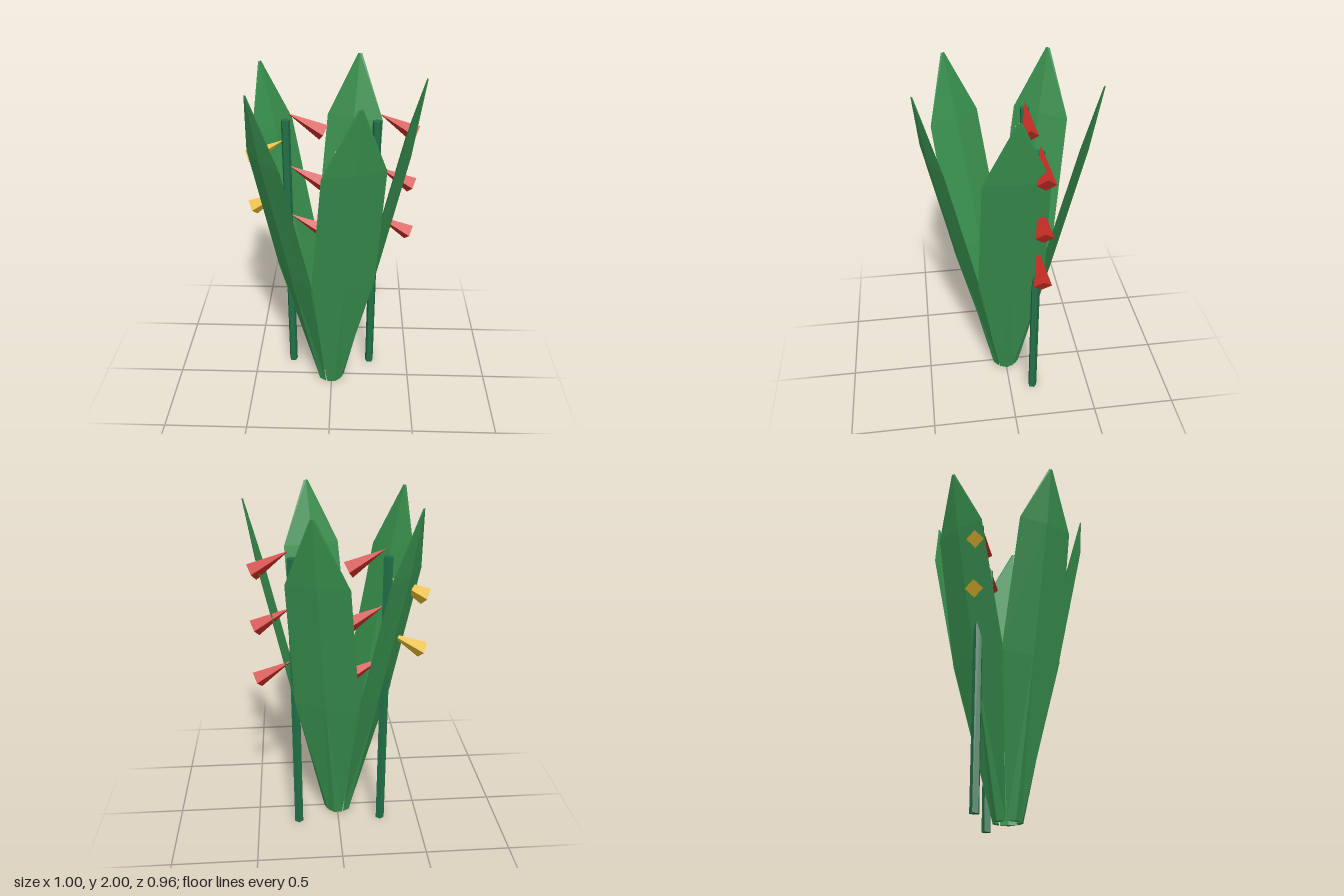
import * as THREE from 'three';

const mat = (name, color) => {
  const m = new THREE.MeshStandardMaterial({ color, flatShading: true });
  m.name = name;
  return m;
};

// Leaf blade: thin diamond sections lofted upward, leaning out along +x.
// Each station: [height, distance from centre, half width, half thickness]
function leafGeometry() {
  const stations = [
    [0, 0.068, 0.045, 0.018],
    [0.87, 0.254, 0.19, 0.026],
    [1.64, 0.424, 0.172, 0.022],
    [2, 0.5, 0.012, 0.004],
  ];
  const sides = 4;
  const pos = [];
  const index = [];
  for (const [y, r, w, t] of stations) {
    for (let i = 0; i < sides; i++) {
      const a = (i / sides) * Math.PI * 2;
      pos.push(r + t * Math.cos(a), y, w * Math.sin(a));
    }
  }
  for (let s = 0; s < stations.length - 1; s++) {
    for (let i = 0; i < sides; i++) {
      const a = s * sides + i;
      const b = s * sides + ((i + 1) % sides);
      const c = a + sides;
      const d = b + sides;
      // Split each quad so the blade stays convex
      index.push(...(i % 2 ? [a, c, d, a, d, b] : [a, c, b, b, c, d]));
    }
  }
  const top = (stations.length - 1) * sides;
  for (let i = 1; i < sides - 1; i++) {
    index.push(0, i, i + 1, top, top + i + 1, top + i);
  }
  const g = new THREE.BufferGeometry();
  g.setAttribute('position', new THREE.Float32BufferAttribute(pos, 3));
  g.setIndex(index);
  const flat = g.toNonIndexed();
  flat.computeVertexNormals();
  return flat;
}

export function createModel() {
  const leafGreen = mat('leaf green', 0x38904e);
  const stemGreen = mat('stem green', 0x217048);
  const red = mat('flower red', 0xc82e26);
  const yellow = mat('flower yellow', 0xe4b832);

  const model = new THREE.Group();
  model.name = 'plant';
  const add = (parent, name, geometry, material) => {
    const mesh = new THREE.Mesh(geometry, material);
    mesh.name = name;
    parent.add(mesh);
    return mesh;
  };

  // Ring of five leaves
  const leaves = new THREE.Group();
  leaves.name = 'leaves';
  leaves.position.set(-0.006, 0, -0.003);
  model.add(leaves);
  const leafGeo = leafGeometry();
  for (let i = 0; i < 5; i++) {
    add(leaves, 'leaf', leafGeo, leafGreen).rotation.y = (i / 5) * Math.PI * 2;
  }

  // Two stalks with drooping trumpet flowers
  const stemGeo = new THREE.CylinderGeometry(0.027, 0.027, 1.715, 5);
  const flowerGeo = new THREE.ConeGeometry(0.05, 0.23, 4);
  for (const x of [-0.264, 0.249]) {
    const stalk = new THREE.Group();
    stalk.name = 'flowerStalk';
    stalk.position.set(x, 0, -0.145);
    model.add(stalk);

    const stem = add(stalk, 'stem', stemGeo, stemGreen);
    stem.position.y = 0.8575;
    stem.rotation.y = Math.PI;

    // The tip of each flower meets the stem; red to the left, yellow to the right
    const addFlower = (name, side, tipY, material) => {
      const flower = add(stalk, name, flowerGeo, material);
      flower.position.set(side * 0.112, tipY - 0.056, 0);
      flower.rotation.z = side * 1.06;
    };
    for (const y of [1.757, 1.439, 1.122]) addFlower('redFlower', 1, y, red);
    for (const y of [1.597, 1.278]) addFlower('yellowFlower', -1, y, yellow);
  }
  return model;
}
